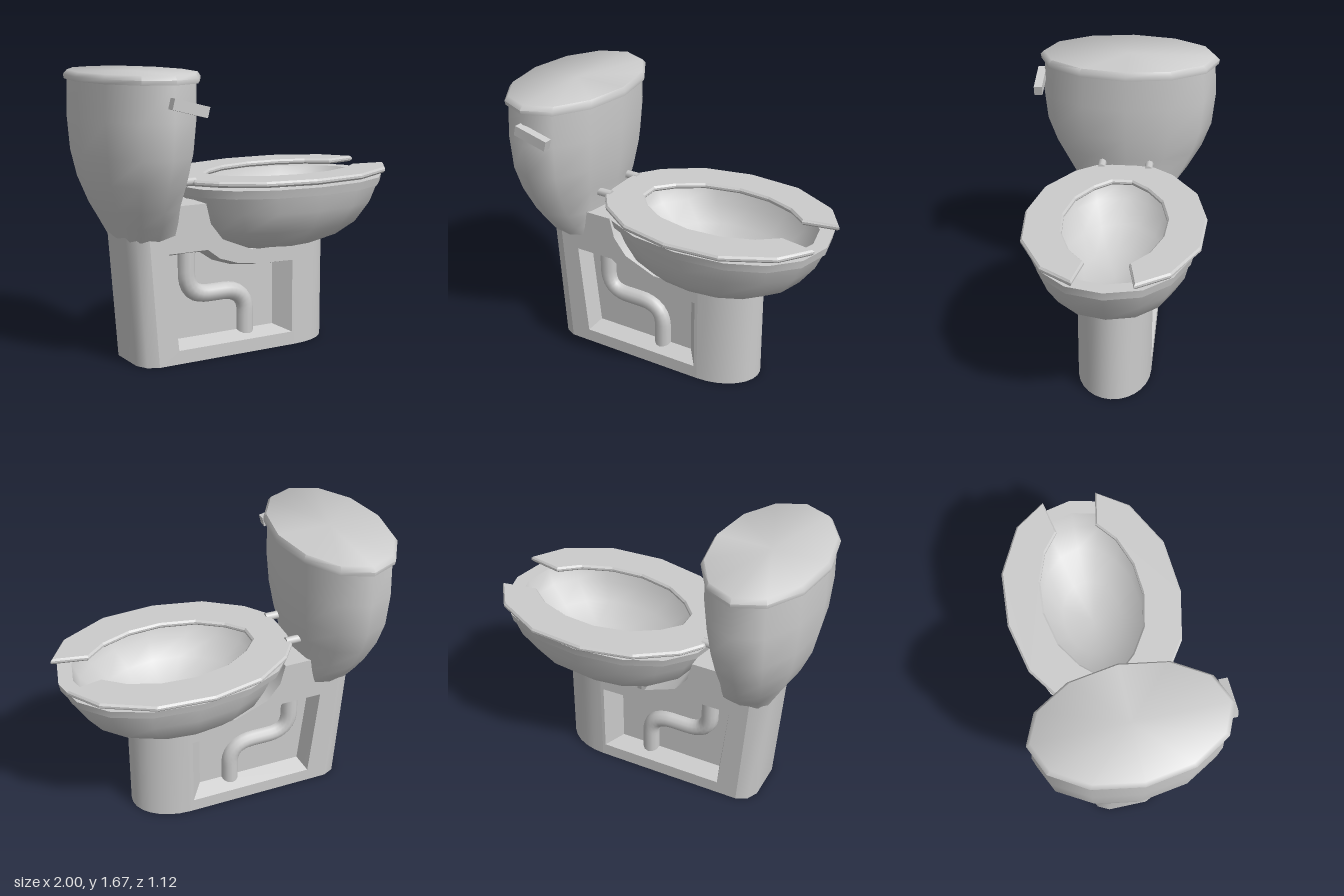
import * as THREE from 'three';
import { toCreasedNormals } from 'three/addons/utils/BufferGeometryUtils.js';

const grey = new THREE.MeshStandardMaterial({ color: 0xcccccc, side: THREE.DoubleSide });

function add(parent, name, geometry) {
  const mesh = new THREE.Mesh(geometry, grey);
  mesh.name = name;
  parent.add(mesh);
  return mesh;
}

// Skin a list of equal-length rings of [x, y, z] points.
function loft(rings, closed = true, crease = 1) {
  const n = rings[0].length, index = [];
  for (let i = 0; i < rings.length - 1; i++) {
    for (let j = 0; j < (closed ? n : n - 1); j++) {
      const a = i * n + j, b = i * n + (j + 1) % n;
      index.push(a, a + n, b, b, a + n, b + n);
    }
  }
  const geo = new THREE.BufferGeometry();
  geo.setAttribute('position', new THREE.Float32BufferAttribute(rings.flat(2), 3));
  geo.setIndex(index);
  geo.computeVertexNormals();
  return toCreasedNormals(geo, crease);
}

// Horizontal oval; a power below 1 makes it squarer.
function oval([y, x0, x1, hz, power = 1], sides) {
  const bend = (v) => Math.sign(v) * Math.abs(v) ** power;
  return Array.from({ length: sides }, (_, i) => {
    const t = i / sides * Math.PI * 2;
    return [(x0 + x1) / 2 + (x1 - x0) / 2 * bend(Math.cos(t)), y, hz * bend(Math.sin(t))];
  });
}

const ovalLoft = (rows, sides) => loft(rows.map((r) => oval(r, sides)));
const shapeOf = (pts) => new THREE.Shape(pts.map(([x, y]) => new THREE.Vector2(x, y)));

function addTank(parent) {
  add(parent, 'tank', ovalLoft([
    [0.73, -0.77, -0.45, 0.22, 0.6], [0.82, -0.82, -0.44, 0.3, 0.8],
    [0.92, -0.88, -0.43, 0.375, 0.95], [1.07, -0.94, -0.395, 0.46],
    [1.22, -0.97, -0.37, 0.515], [1.42, -0.985, -0.352, 0.535], [1.62, -0.982, -0.35, 0.525],
  ], 12));
  add(parent, 'tankLid', ovalLoft([
    [1.62, -0.665, -0.665, 0], [1.62, -0.995, -0.33, 0.545], [1.645, -1, -0.327, 0.55],
    [1.67, -0.98, -0.342, 0.527], [1.67, -0.665, -0.665, 0],
  ], 12));
  const lever = add(parent, 'flushLever', new THREE.BoxGeometry(0.215, 0.06, 0.05));
  lever.position.set(-0.59, 1.5, 0.545);
  lever.rotation.z = -0.25;
}

function addBowl(parent) {
  // Outside, rim band, then down the inside of the basin
  add(parent, 'bowl', ovalLoft([
    [0.6, 0.02, 0.57, 0.2], [0.61, -0.05, 0.59, 0.22], [0.65, -0.13, 0.71, 0.3, 0.95],
    [0.73, -0.23, 0.84, 0.38, 0.92], [0.85, -0.29, 0.93, 0.44, 0.9],
    [0.95, -0.34, 0.975, 0.465, 0.9], [0.95, -0.37, 0.985, 0.475, 0.9],
    [1, -0.385, 0.995, 0.487, 0.9], [1, -0.25, 0.91, 0.4, 0.9],
    [0.9, -0.21, 0.87, 0.37, 0.92], [0.8, -0.08, 0.76, 0.3], [0.71, 0.08, 0.58, 0.18],
    [0.67, 0.32, 0.32, 0],
  ], 16));
}

function addSeat(parent) {
  // Half outlines, mirrored in z, leaving the gap at the front
  const outer = [[0.985, 0.165], [0.86, 0.345], [0.58, 0.49], [0.25, 0.515],
    [-0.05, 0.45], [-0.27, 0.3], [-0.36, 0.18], [-0.375, 0.08]];
  const inner = [[-0.17, 0.06], [-0.08, 0.16], [0.07, 0.255], [0.28, 0.3],
    [0.48, 0.285], [0.66, 0.22], [0.78, 0.125]];
  const flip = (pts) => pts.map(([x, z]) => [x, -z]).reverse();
  const geo = new THREE.ExtrudeGeometry(shapeOf([...outer, ...flip(outer), ...flip(inner), ...inner]), {
    depth: 0.012, bevelEnabled: true, bevelThickness: 0.011, bevelSize: 0.01,
    bevelOffset: -0.005, bevelSegments: 1,
  });
  geo.rotateX(-Math.PI / 2);
  const seat = add(parent, 'seat', geo);
  seat.position.set(0, 1.03, 0);
  seat.rotation.z = 0.007;
  for (const side of [-1, 1]) {
    const hinge = add(parent, 'seatHinge', new THREE.CylinderGeometry(0.025, 0.025, 0.09, 8));
    hinge.rotation.z = Math.PI / 2;
    hinge.position.set(-0.385, 1.04, side * 0.145);
  }
}

// One side wall with its recess and drain pipe, built on +z
function addSide(parent) {
  const face = 0.22, back = 0.12;
  const outer = [[-0.55, 0.65], [-0.49, 0.08], [0.28, 0.08], [0.28, 0.525], [0.05, 0.53],
    [-0.1, 0.55], [-0.22, 0.59], [-0.3, 0.65]];
  const inner = [[-0.515, 0.62], [-0.46, 0.12], [0.2, 0.12], [0.2, 0.5], [0.05, 0.505],
    [-0.1, 0.525], [-0.22, 0.565], [-0.3, 0.62]];

  const wall = shapeOf([[-0.615, 0], [0.3, 0], [0.3, 0.62], [0, 0.62], [-0.2, 0.7],
    [-0.28, 0.8], [-0.31, 0.92], [-0.6, 0.92], [-0.67, 0.75]]);
  wall.holes.push(shapeOf(outer));
  add(parent, 'sideWall', new THREE.ShapeGeometry(wall).translate(0, 0, face));
  add(parent, 'recessEdge', loft([
    inner.map(([x, y]) => [x, y, back]), outer.map(([x, y]) => [x, y, face]),
  ], true, 0.6));
  add(parent, 'recessBack', new THREE.ShapeGeometry(shapeOf(inner)).translate(0, 0, back));

  // S-bend of straight runs joined by rounded corners
  const v = (x, y) => new THREE.Vector3(x, y, back);
  const path = new THREE.CurvePath();
  path.add(new THREE.LineCurve3(v(-0.39, 0.64), v(-0.39, 0.5)));
  path.add(new THREE.QuadraticBezierCurve3(v(-0.39, 0.5), v(-0.385, 0.37), v(-0.25, 0.37)));
  path.add(new THREE.LineCurve3(v(-0.25, 0.37), v(-0.13, 0.37)));
  path.add(new THREE.QuadraticBezierCurve3(v(-0.13, 0.37), v(0, 0.36), v(0.003, 0.24)));
  path.add(new THREE.LineCurve3(v(0.003, 0.24), v(0.003, 0.06)));
  add(parent, 'drainPipe', new THREE.TubeGeometry(path, 28, 0.053, 12));
}

function addPedestal(parent) {
  for (const side of [-1, 1]) {
    const half = new THREE.Group();
    half.name = side > 0 ? 'pedestalSideFront' : 'pedestalSideBack';
    addSide(half);
    half.scale.z = side;
    parent.add(half);
  }
  // Rounded wall under the bowl
  const nose = (y) => Array.from({ length: 15 }, (_, i) => {
    const t = (i / 14 - 0.5) * Math.PI;
    return [0.3 + 0.3 * Math.cos(t), y, 0.22 * Math.sin(t)];
  });
  add(parent, 'pedestalNose', loft([nose(0), nose(0.62)], false));
  // Leaning wall under the tank
  const heel = (y, dx) => [[-0.615, 0.22], [-0.68, 0.19], [-0.715, 0.12],
    [-0.715, -0.12], [-0.68, -0.19], [-0.615, -0.22]].map(([x, z]) => [x + dx, y, z]);
  add(parent, 'pedestalHeel', loft([heel(0, 0), heel(0.75, -0.055)], false));
  // Deck between tank and bowl
  const deck = (z) => [[-0.6, 0.92], [-0.31, 0.92], [-0.28, 0.8], [-0.2, 0.7], [0, 0.62]]
    .map(([x, y]) => [x, y, z]);
  add(parent, 'deck', loft([deck(0.22), deck(-0.22)], false));
}

export function createModel() {
  const model = new THREE.Group();
  model.name = 'toilet';
  const body = new THREE.Group();
  body.name = 'body';
  body.position.z = -0.008;
  addPedestal(body);
  addBowl(body);
  addSeat(body);
  addTank(body);
  model.add(body);
  return model;
}
